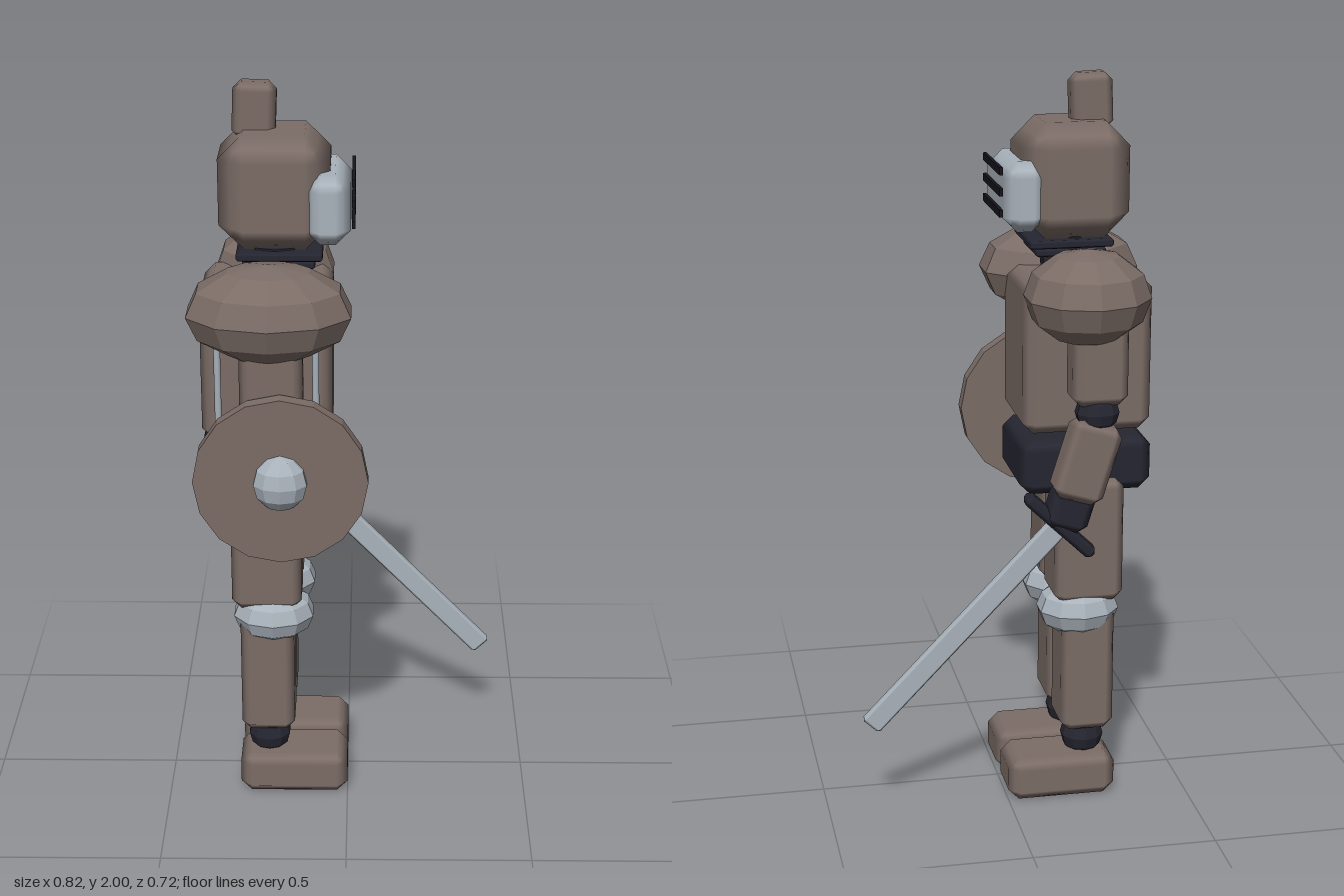
import * as THREE from 'three';

const mat = (name, color, extra = {}) => {
  const m = new THREE.MeshStandardMaterial({ color, ...extra });
  m.name = name;
  return m;
};

// Box with smooth-shaded chamfers of size r on every edge.
function chamferBox(w, h, d, r) {
  const geo = new THREE.BoxGeometry(1, 1, 1, 3, 3, 3);
  const pos = geo.attributes.position, nor = geo.attributes.normal;
  const half = [w / 2, h / 2, d / 2];
  for (let i = 0; i < pos.count; i++) {
    const p = [pos.getX(i), pos.getY(i), pos.getZ(i)];
    const outer = p.map(v => (Math.abs(v) > 0.4 ? Math.sign(v) : 0));
    const n = outer.filter(v => v !== 0).length;
    const q = p.map((v, k) => Math.sign(v) * (half[k] - r) + (outer[k] * r) / n);
    pos.setXYZ(i, ...q);
    nor.setXYZ(i, ...outer.map(v => v / Math.sqrt(n)));
  }
  return geo;
}

// Faceted ellipsoid with a vertex pointing along +z and -z.
function facetBall(rx, ry, rz, sides = 10, rings = 6) {
  return new THREE.SphereGeometry(1, sides, rings).rotateY(Math.PI / 2).scale(rx, ry, rz);
}

export function createModel() {
  const model = new THREE.Group();
  const armour = mat('brown armour', 0x7b6c66, { flatShading: false });
  const steel = mat('pale steel', 0xa9b2bb);
  const dark = mat('dark leather', 0x262632);
  const black = mat('black slits', 0x15151b);

  const add = (name, geo, material, x, y, z, rotZ = 0, parent = model) => {
    const mesh = new THREE.Mesh(geo, material);
    mesh.name = name;
    mesh.position.set(x, y, z);
    mesh.rotation.z = rotZ;
    parent.add(mesh);
    return mesh;
  };
  // Box given by its limits on each axis.
  const box = (name, material, [x0, x1], [y0, y1], [z0, z1], r, rotZ = 0) =>
    add(name, chamferBox(x1 - x0, y1 - y0, z1 - z0, r), material,
      (x0 + x1) / 2, (y0 + y1) / 2, (z0 + z1) / 2, rotZ);
  // Faceted parts get real flat faces.
  const faceted = (name, geo, material, x, y, z, rotZ) => {
    const flat = geo.toNonIndexed();
    flat.computeVertexNormals();
    return add(name, flat, material, x, y, z, rotZ);
  };

  // Helmet, crest and visor
  box('helmet', armour, [-0.335, -0.045], [1.575, 1.88], [-0.15, 0.122], 0.065);
  box('crest', armour, [-0.298, -0.185], [1.85, 2.0], [-0.06, 0.014], 0.022, -0.04);
  box('visor', steel, [-0.11, 0.008], [1.6, 1.785], [-0.147, 0.138], 0.04);
  for (const y of [1.765, 1.71, 1.655])
    add('visorSlit', new THREE.BoxGeometry(0.009, 0.02, 0.232), black, 0.015, y, -0.012);

  // Neck and collar
  faceted('neck', new THREE.CylinderGeometry(0.085, 0.07, 0.13, 10), dark, -0.19, 1.515, -0.007);
  box('upperCollar', dark, [-0.29, -0.065], [1.553, 1.575], [-0.115, 0.1], 0.006);
  box('lowerCollar', dark, [-0.275, -0.085], [1.527, 1.547], [-0.09, 0.08], 0.006);

  // Torso and belt
  box('torso', armour, [-0.388, -0.04], [1.06, 1.477], [-0.165, 0.13], 0.03);
  box('belt', dark, [-0.394, -0.035], [0.887, 1.04], [-0.157, 0.14], 0.03);

  // Shoulder plates
  faceted('leftPauldron', facetBall(0.223, 0.128, 0.163), armour, -0.202, 1.443, 0.171);
  faceted('rightPauldron', facetBall(0.168, 0.126, 0.166), armour, -0.2, 1.443, -0.195);

  // Left arm, hanging straight behind the shield
  box('leftUpperArm', armour, [-0.28, -0.115], [1.16, 1.42], [0.14, 0.247], 0.025);
  faceted('leftElbow', facetBall(0.06, 0.055, 0.05), dark, -0.2, 1.135, 0.19);
  box('leftForearm', armour, [-0.275, -0.12], [0.89, 1.105], [0.107, 0.245], 0.025);
  box('leftHand', dark, [-0.265, -0.13], [0.79, 0.905], [0.108, 0.242], 0.025);
  for (const x of [-0.34, -0.083])
    add('shieldStrap', new THREE.CylinderGeometry(0.009, 0.009, 0.3, 8), steel, x, 1.24, 0.158);

  // Right arm, forearm swung forward
  box('rightUpperArm', armour, [-0.3, -0.15], [1.16, 1.42], [-0.27, -0.16], 0.025);
  faceted('rightElbow', facetBall(0.06, 0.055, 0.05), dark, -0.225, 1.135, -0.215);
  add('rightForearm', chamferBox(0.14, 0.22, 0.095, 0.025), armour, -0.195, 1.005, -0.222, 0.3);
  add('rightHand', chamferBox(0.12, 0.12, 0.085, 0.025), dark, -0.155, 0.868, -0.2, 0.3);

  // Sword, laid along a slope that points forward and down
  const sword = new THREE.Group();
  sword.name = 'sword';
  sword.position.set(-0.13, 0.82, -0.2);
  sword.rotation.z = -0.806;
  model.add(sword);
  add('blade', chamferBox(0.74, 0.062, 0.025, 0.008), steel, 0.38, 0, 0, 0, sword);
  add('guard', chamferBox(0.035, 0.25, 0.055, 0.012), dark, 0, 0, 0, 0, sword);
  add('grip', new THREE.CylinderGeometry(0.02, 0.02, 0.16, 8), dark, -0.07, 0, 0, Math.PI / 2, sword);

  // Round shield with a domed boss
  const disc = new THREE.CylinderGeometry(0.229, 0.229, 0.043, 16).rotateX(Math.PI / 2);
  faceted('shield', disc, armour, -0.173, 1.02, 0.279);
  faceted('shieldBoss', facetBall(0.073, 0.076, 0.06, 10, 6), steel, -0.173, 1.02, 0.3);

  // Legs
  for (const [side, s, dz] of [['left', 1, 0], ['right', -1, -0.008]]) {
    const zr = (a, b) => (s > 0 ? [a, b] : [dz - b, dz - a]);
    const mid = s * 0.093 + dz;
    box(side + 'Thigh', armour, [-0.315, -0.125], [0.58, 0.93], zr(0.003, 0.177), 0.025);
    faceted(side + 'Knee', facetBall(0.114, 0.077, 0.104), steel, -0.203, 0.546, s * 0.105);
    box(side + 'Shin', armour, [-0.294, -0.147], [0.198, 0.56], zr(0.01, 0.174), 0.025);
    faceted(side + 'Ankle', facetBall(0.06, 0.06, 0.06), dark, -0.22, 0.162, mid);
    box(side + 'Foot', armour, [-0.3, 0], [0, 0.125], zr(0.003, 0.183), 0.03);
  }
  return model;
}
